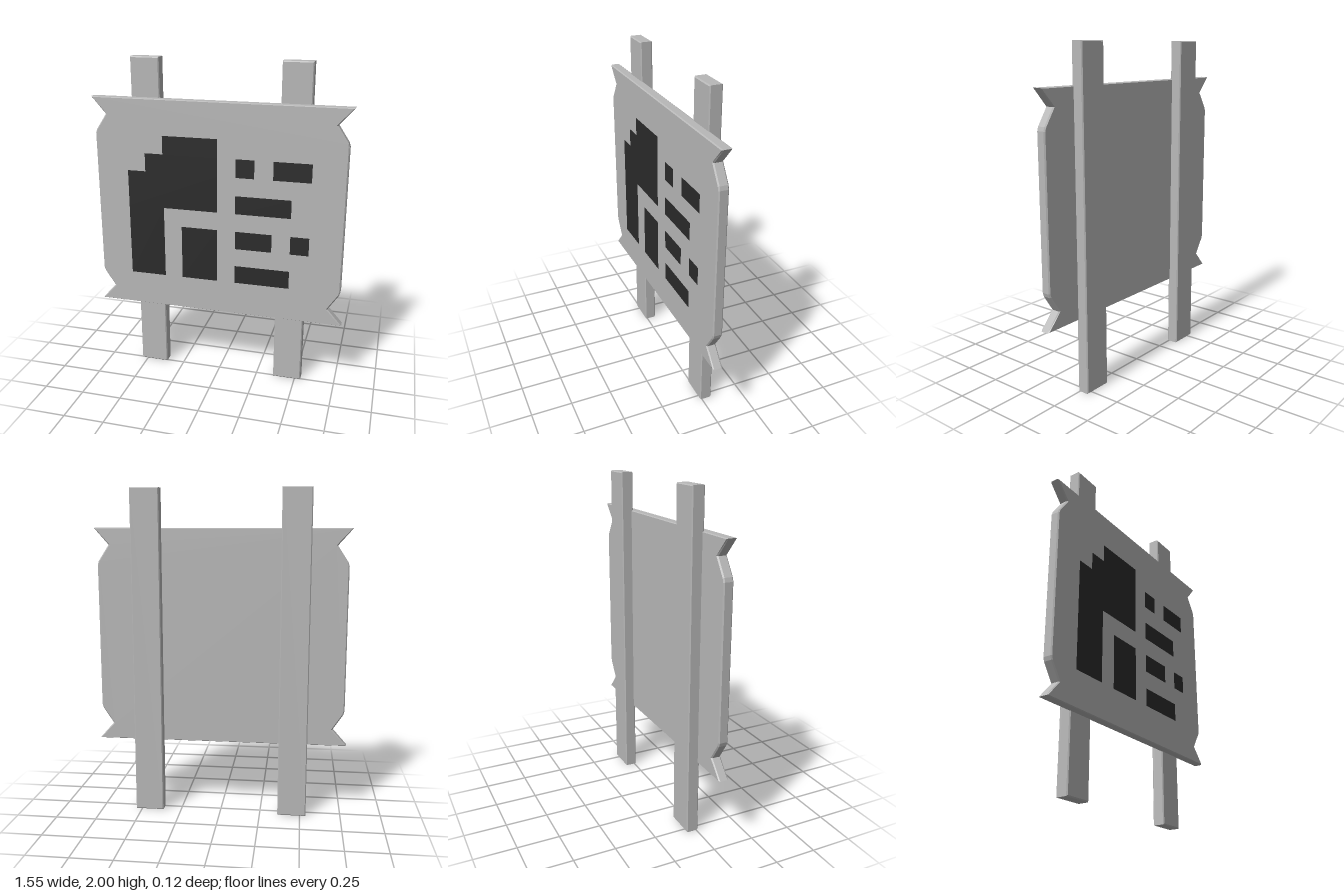
import * as THREE from 'three';

const gray = new THREE.MeshStandardMaterial({ color: 0xb8b8b8 });
gray.name = 'lightGray';
const dark = new THREE.MeshStandardMaterial({ color: 0x2b2b2b });
dark.name = 'charcoal';

// Bevelled slab that fills the outline between z0 and z1
function slab(name, points, z0, z1, bevel) {
  const shape = new THREE.Shape(points.map(([x, y]) => new THREE.Vector2(x, y)));
  const geometry = new THREE.ExtrudeGeometry(shape, {
    depth: z1 - z0 - 2 * bevel,
    bevelEnabled: true,
    bevelSegments: 1,
    bevelSize: bevel,
    bevelThickness: bevel,
    bevelOffset: -bevel,
  });
  geometry.translate(0, 0, z0 + bevel);
  const mesh = new THREE.Mesh(geometry, gray);
  mesh.name = name;
  return mesh;
}

export function createModel() {
  const model = new THREE.Group();
  model.name = 'signBoard';

  // Board with notched corners, mirrored left to right
  const side = [
    [0.777, 0.444], [0.688, 0.545], [0.752, 0.642], [0.759, 0.665],
    [0.759, 1.545], [0.752, 1.568], [0.688, 1.665], [0.777, 1.766],
  ];
  const outline = [...side, ...side.map(([x, y]) => [-x, y]).reverse()];
  model.add(slab('board', outline, 0.001, 0.06, 0.007));

  // Two posts behind the board
  for (const s of [-1, 1]) {
    const a = s * 0.449 - 0.088, b = s * 0.449 + 0.088;
    model.add(slab(s > 0 ? 'leftPost' : 'rightPost',
      [[a, 0], [b, 0], [b, 2], [a, 2]], -0.062, 0.012, 0.006));
  }

  // Painted blocks on a square grid: first column, last column, first row, last row (from the top)
  const cell = 0.112, top = 1.552;
  const paint = new THREE.Group();
  paint.name = 'paintedPattern';
  const blocks = [
    [-3, 0, 0, 1], [-4, 0, 1, 2], [-5, 0, 2, 4], [-5, -3, 4, 8], [-2, 0, 5, 8],
    [1, 2, 1, 2], [3, 5, 1, 2], [1, 4, 3, 4], [1, 3, 5, 6], [4, 5, 5, 6], [1, 4, 7, 8],
  ];
  for (const [c0, c1, r0, r1] of blocks) {
    const block = new THREE.Mesh(
      new THREE.PlaneGeometry((c1 - c0) * cell, (r1 - r0) * cell), dark);
    block.position.set((c0 + c1) / 2 * cell, top - (r0 + r1) / 2 * cell, 0.062);
    block.name = 'paintedBlock';
    paint.add(block);
  }
  model.add(paint);
  return model;
}
